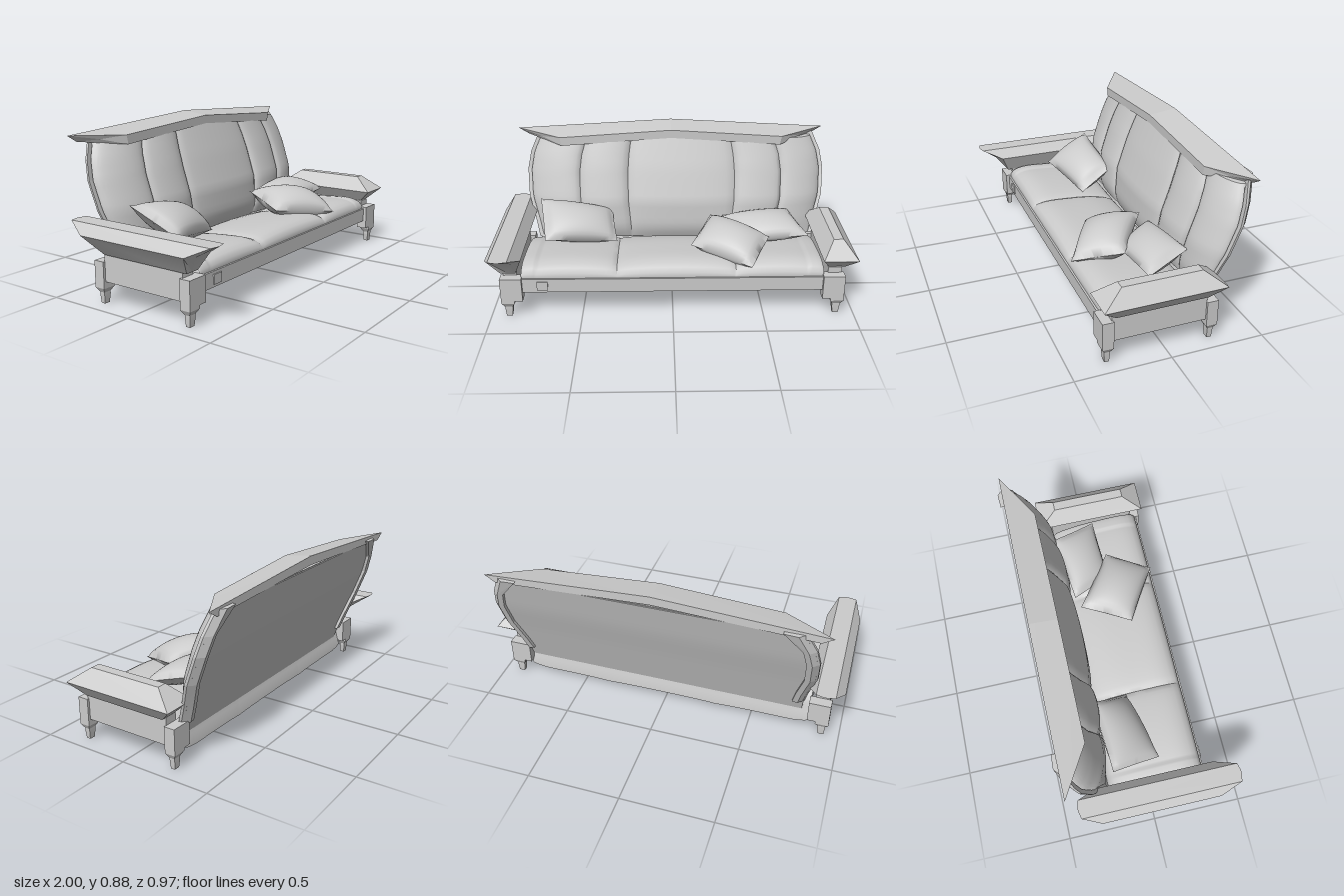
import * as THREE from 'three';
import { toCreasedNormals } from 'three/addons/utils/BufferGeometryUtils.js';

const grey = new THREE.MeshStandardMaterial({ color: 0xcccccc });
const lerp = THREE.MathUtils.lerp;

// piecewise linear lookup in [[key, value], ...]
function curve(table, k) {
  for (let i = 1; i < table.length; i++) {
    const [a, va] = table[i - 1], [b, vb] = table[i];
    if (k <= b || i === table.length - 1) return lerp(va, vb, (k - a) / (b - a));
  }
}

// closed skin over rings of points, capped at both ends and turned outwards
function loft(name, rings, crease = 0.1) {
  const tris = [], n = rings[0].length;
  for (let r = 0; r + 1 < rings.length; r++) {
    for (let i = 0; i < n; i++) {
      const j = (i + 1) % n;
      const a = rings[r][i], b = rings[r][j], c = rings[r + 1][j], d = rings[r + 1][i];
      tris.push([a, b, c], [a, c, d]);
    }
  }
  const cap = (ring, flip) => {
    const mid = [0, 1, 2].map(k => ring.reduce((sum, p) => sum + p[k], 0) / n);
    ring.forEach((p, i) => {
      const q = ring[(i + 1) % n];
      tris.push(flip ? [mid, q, p] : [mid, p, q]);
    });
  };
  cap(rings[0], true);
  cap(rings[rings.length - 1], false);
  let volume = 0;
  for (const [a, b, c] of tris) {
    volume += new THREE.Vector3(...a).dot(new THREE.Vector3(...b).cross(new THREE.Vector3(...c)));
  }
  if (volume < 0) tris.forEach(t => t.reverse());
  const geo = new THREE.BufferGeometry();
  geo.setAttribute('position', new THREE.Float32BufferAttribute(tris.flat(2), 3));
  const mesh = new THREE.Mesh(toCreasedNormals(geo, crease), grey);
  mesh.name = name;
  return mesh;
}

const rect = (y, x0, x1, z0, z1) => [[x0, y, z0], [x1, y, z0], [x1, y, z1], [x0, y, z1]];
const box = (name, x0, x1, y0, y1, z0, z1) => loft(name, [rect(y0, x0, x1, z0, z1), rect(y1, x0, x1, z0, z1)]);

// swelling between seams, 0 at each seam and 1 midway
function puff(s, seams) {
  const i = Math.max(1, seams.findIndex(k => s <= k));
  const t = (s - seams[i - 1]) / (seams[i] - seams[i - 1]);
  return Math.sqrt(Math.max(0, 4 * t * (1 - t)));
}

// sample positions from -1 to 1, denser near the ends and hitting every seam
function stations(count, seams) {
  const list = seams.slice(1, -1);
  for (let i = 0; i <= count; i++) list.push(Math.sin((i / count - 0.5) * Math.PI));
  return list.sort((a, b) => a - b);
}

// backrest rules: half width, rear surface and front surface by height
const CX = 0.03;
const halfWidth = y => curve([[0.2, 0.81], [0.3, 0.83], [0.45, 0.87], [0.6, 0.875], [0.7, 0.855], [0.82, 0.8]], y);
const backZ = y => curve([[0.2, -0.24], [0.4, -0.31], [0.6, -0.385], [0.82, -0.45]], y);
const frontZ = y => curve([[0.2, -0.215], [0.25, -0.192], [0.3, -0.178], [0.45, -0.185], [0.64, -0.245], [0.82, -0.312]], y);

function backCushion() {
  const seams = [-1, -0.66, -0.33, 0.4, 0.72, 1], M = 18;
  const rings = stations(90, seams).map(s => {
    const edge = Math.sqrt(Math.max(0, 1 - Math.pow(Math.abs(s), 3.5)));
    const t = 0.1 + edge * (0.66 + 0.24 * puff(s, seams));
    const top = 0.785 + 0.03 * (1 - s * s);
    const front = [], back = [];
    for (let j = 0; j <= M; j++) {
      const y = lerp(0.22, top, j / M), x = CX + s * (halfWidth(y) - 0.01);
      front.push([x, y, lerp(backZ(y), frontZ(y), t)]);
      if (j % 6 === 0) back.unshift([x, y, backZ(y) - 0.005]);
    }
    return [...front, ...back];
  });
  return loft('backCushion', rings, 0.9);
}

function backPanel() {
  const rings = [-1, -0.5, 0, 0.5, 1].map(s => {
    const front = [], back = [];
    for (let j = 0; j <= 12; j++) {
      const y = lerp(0.11, 0.81, j / 12), x = CX * Math.min(1, y * 4) + s * halfWidth(y);
      front.push([x, y, backZ(y)]);
      back.unshift([x, y, backZ(y) - 0.012]);
    }
    return [...front, ...back];
  });
  return loft('backPanel', rings, 0.6);
}

// curved edge of the backrest, its outer face turned towards the rear
function backFrame(side) {
  const rings = [0.215, 0.3, 0.45, 0.6, 0.7, 0.82].map(y => {
    const w = halfWidth(y), z = backZ(y), inset = y > 0.75 ? 0.1 : 0.055;
    return [[w - inset, z], [w + 0.012, z + 0.012], [w + 0.01, z - 0.003], [w - 0.025, z - 0.034], [w - inset, z - 0.03]]
      .map(([x, zz]) => [CX + side * x, y, zz]);
  });
  return loft('backFrame', rings, 0.1);
}

// sloping rail with a central ridge and slanted ends
function topRail() {
  const rings = [-1, 0, 1].map(s => {
    const e = Math.abs(s);
    return [
      [s * 0.91, 0.877 - 0.05 * e, -0.46], [s * 0.65, 0.857 - 0.042 * e, -0.305],
      [s * 0.64, 0.81 - 0.045 * e, -0.305], [s * 0.85, 0.828 - 0.038 * e, -0.46],
    ];
  });
  return loft('topRail', rings);
}

// seat cross-section as [z, y], sagging behind the front rail
function seatCushion() {
  const profile = new THREE.CatmullRomCurve3([
    [0.28, 0.17], [0.308, 0.22], [0.3, 0.265], [0.24, 0.295], [0.08, 0.292], [-0.1, 0.265],
    [-0.2, 0.22], [-0.23, 0.13], [-0.242, 0.048], [-0.13, 0.112], [0.05, 0.155],
  ].map(([z, y]) => new THREE.Vector3(0, y, z)), true, 'centripetal').getSpacedPoints(44).slice(0, -1);
  const seams = [-1, -0.37, 0.42, 1];
  const rings = stations(90, seams).map(s => {
    const edge = 0.8 + 0.2 * Math.sqrt(Math.max(0, 1 - Math.pow(s, 16)));
    const dip = Math.abs(s) < 0.9 ? 1 - puff(s, seams) : 0;
    return profile.map(p => {
      const cy = 0.2 + 0.1 * Math.min(0, p.z);
      const k = p.y > cy ? edge * (1 - 0.3 * dip) : edge * (1 + 0.06 * dip);
      return [s * 0.825, cy + (p.y - cy) * k, p.z * (0.96 + 0.04 * edge)];
    });
  });
  return loft('seatCushion', rings, 0.9);
}

// pillow stretched over four corners, swelling to both sides
function pillow(corners, bulge) {
  const [a, b, c, d] = corners.map(p => new THREE.Vector3(...p));
  const normal = c.clone().sub(a).cross(d.clone().sub(b)).normalize();
  const rings = [], N = 16;
  for (let i = 0; i <= N; i++) {
    const u = i / N, ring = [];
    for (let j = 0; j < 2 * N; j++) {
      const v = j <= N ? j / N : 2 - j / N, sign = j <= N ? 1 : -1;
      const su = 4 * u * (1 - u), sv = 4 * v * (1 - v);
      const pu = lerp(u, 0.5, 0.015 * sv), pv = lerp(v, 0.5, 0.015 * su);
      const p = a.clone().lerp(b, pu).lerp(d.clone().lerp(c, pu), pv);
      ring.push(p.addScaledVector(normal, sign * bulge * Math.pow(su * sv, 0.5)).toArray());
    }
    rings.push(ring);
  }
  return loft('pillow', rings, 1);
}

// square post tapering into a small foot
function leg(side, z0, z1, top) {
  const zm = (z0 + z1) / 2 - 0.003, h = (z1 - z0) / 2, group = new THREE.Group();
  const ring = (y, x0, x1, d) => rect(y, side * x0, side * x1, zm - d, zm + d);
  group.name = 'leg';
  group.add(loft('post', [ring(0.06, 0.88, 0.924, 0.015), ring(0.085, 0.865, 0.938, h), ring(top, 0.865, 0.938, h)]));
  group.add(loft('postBlock', [ring(0.1, 0.82, 0.87, h), ring(top, 0.82, 0.87, h)]));
  group.add(loft('foot', [ring(0, 0.886, 0.918, 0.012), ring(0.045, 0.88, 0.922, 0.015), ring(0.065, 0.88, 0.922, 0.015)]));
  return group;
}

export function createModel() {
  const model = new THREE.Group();
  model.name = 'sofa';

  // base and backrest edges
  for (const side of [-1, 1]) {
    model.add(leg(side, 0.28, 0.34, 0.235), leg(side, -0.27, -0.21, 0.225), backFrame(side));
    model.add(loft('sidePanel', [0.12, 0.268].map(y => rect(y, side * 0.85, side * 0.925, -0.215, 0.285))));
  }
  model.add(box('frontRail', -0.83, 0.83, 0.145, 0.225, 0.285, 0.318));
  model.add(box('railClip', -0.74, -0.68, 0.16, 0.21, 0.31, 0.325));

  // left arm: tapered above and below its widest line
  model.add(loft('leftArm', [
    rect(0.262, 0.86, 0.945, -0.21, 0.27), rect(0.335, 0.81, 1.0, -0.288, 0.35), rect(0.415, 0.877, 0.93, -0.18, 0.24),
  ]));

  // right arm: longer, with overhanging pointed ends
  const armRing = (y, x0, x1, z0, z1, tip) => [
    [x0, y, z0], [x0 + 0.04, y, z0 - tip], [x1 - 0.04, y, z0 - tip], [x1, y, z0],
    [x1, y, z1], [x1 - 0.04, y, z1 + tip], [x0 + 0.04, y, z1 + tip], [x0, y, z1],
  ];
  model.add(loft('rightArm', [
    armRing(0.262, -0.93, -0.85, -0.21, 0.315, 0), armRing(0.36, -1.0, -0.81, -0.3, 0.355, 0.035),
    armRing(0.415, -0.957, -0.857, -0.405, 0.473, 0.01),
  ], 0.7));

  // backrest and upholstery
  model.add(backPanel(), backCushion(), topRail(), seatCushion());
  model.add(pillow([[-0.765, 0.48, -0.19], [-0.35, 0.4, -0.215], [-0.315, 0.285, -0.015], [-0.715, 0.34, 0.08]], 0.08));
  model.add(pillow([[0.23, 0.385, -0.155], [0.55, 0.345, 0.065], [0.43, 0.285, 0.315], [0.105, 0.325, 0.12]], 0.09));
  model.add(pillow([[0.3, 0.37, -0.175], [0.69, 0.39, -0.22], [0.78, 0.335, 0.03], [0.42, 0.31, 0.05]], 0.065));
  return model;
}
